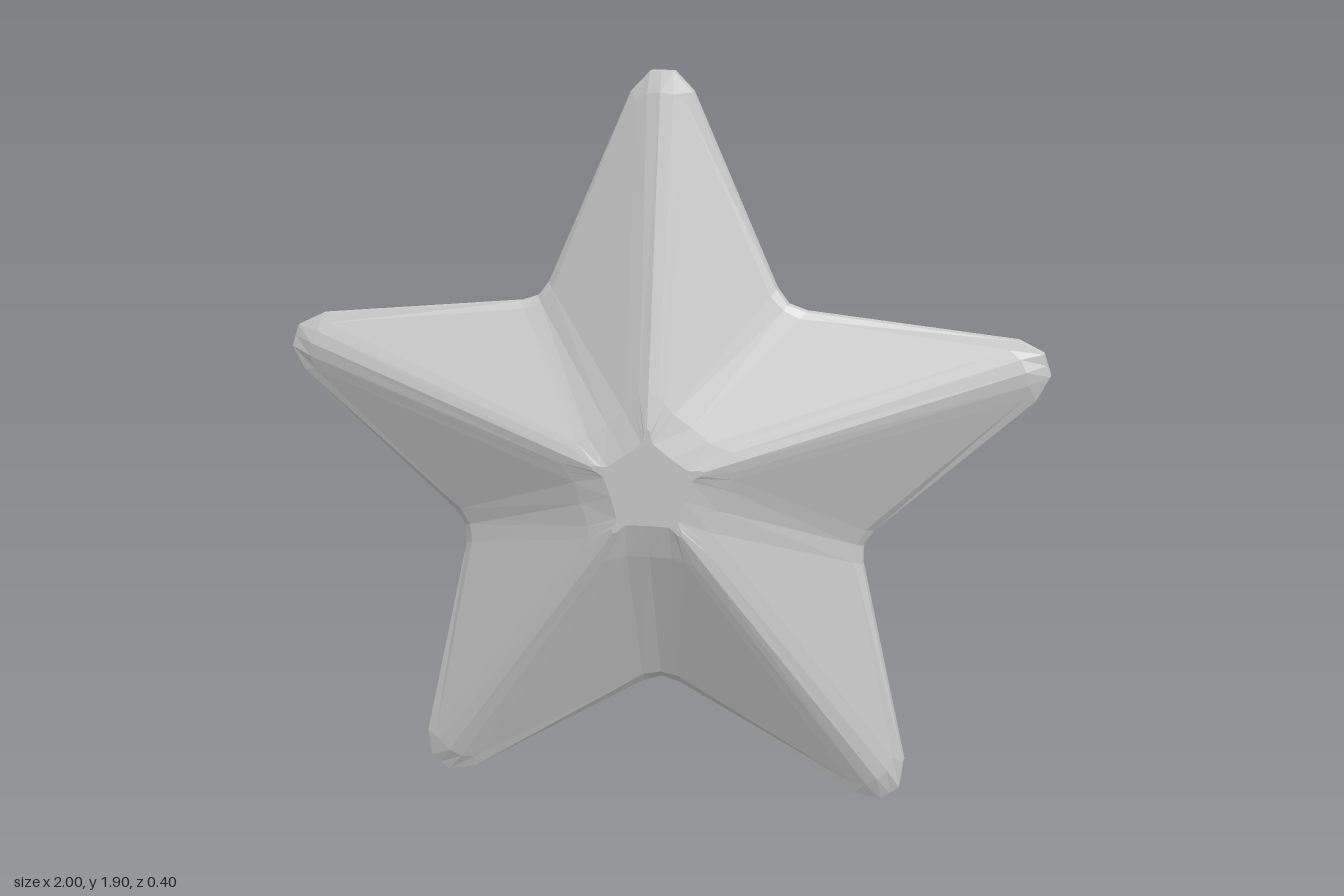
import * as THREE from 'three';

// Half-arm cross-sections [x, along arm, z], from ridge line to valley line
const RINGS = [
  // flat centre
  [[0, 0.155, 0.2], [0.008, 0.145, 0.2], [0.01, 0.13, 0.2], [0.015, 0.115, 0.2], [0.059, 0.081, 0.2]],
  // softened shoulder round the centre
  [[0, 0.24, 0.184], [0.025, 0.24, 0.178], [0.042, 0.215, 0.177], [0.063, 0.189, 0.175], [0.112, 0.154, 0.171]],
  // foot of the slopes
  [[0, 0.99, 0.036], [0.035, 0.985, 0.031], [0.065, 0.965, 0.024], [0.287, 0.475, 0.03], [0.32, 0.44, 0.027]],
  // outer rim
  [[0, 1.042, 0.015], [0.03, 1.042, 0.015], [0.08, 0.99, 0.015], [0.298, 0.492, 0.015], [0.328, 0.452, 0.015]],
];
const ARMS = 5;
const CENTRE_Y = 0.861;

// Repeat a half-arm section, mirrored, round all five arms (clockwise from the front)
function fullRing(half, sign) {
  const pts = [];
  const arm = [...half, ...half.slice(1, 4).reverse().map((p) => [-p[0], p[1], p[2], 1])];
  for (let k = 0; k < ARMS; k++) {
    arm.forEach(([x, r, z, next]) => {
      const a = ((k + (next ? 1 : 0)) * Math.PI * 2) / ARMS;
      pts.push([x * Math.cos(a) + r * Math.sin(a), r * Math.cos(a) - x * Math.sin(a), z * sign]);
    });
  }
  return pts;
}

function starGeometry() {
  const rings = [
    ...RINGS.map((h) => fullRing(h, 1)),
    ...RINGS.slice().reverse().map((h) => fullRing(h, -1)),
  ];
  const n = rings[0].length;
  const positions = rings.flat(2);
  const index = [];
  // Strips from the front centre, over the rim, to the back centre
  for (let j = 0; j < rings.length - 1; j++) {
    for (let i = 0; i < n; i++) {
      const i2 = (i + 1) % n;
      const a = j * n + i, b = j * n + i2, c = (j + 1) * n + i2, d = (j + 1) * n + i;
      index.push(a, b, c, a, c, d);
    }
  }
  // Flat caps in the middle of each side
  const front = rings.length * n, back = front + 1, last = (rings.length - 1) * n;
  positions.push(0, 0, 0.2, 0, 0, -0.2);
  for (let i = 0; i < n; i++) {
    const i2 = (i + 1) % n;
    index.push(front, i2, i, back, last + i, last + i2);
  }
  const geo = new THREE.BufferGeometry();
  geo.setAttribute('position', new THREE.Float32BufferAttribute(positions, 3));
  geo.setIndex(index);
  const flat = geo.toNonIndexed();
  flat.computeVertexNormals();
  return flat;
}

export function createModel() {
  const group = new THREE.Group();
  group.name = 'star';
  const body = new THREE.Mesh(
    starGeometry(),
    new THREE.MeshStandardMaterial({ color: 0xcccccc, flatShading: true })
  );
  body.name = 'starBody';
  body.position.y = CENTRE_Y;
  group.add(body);
  return group;
}
